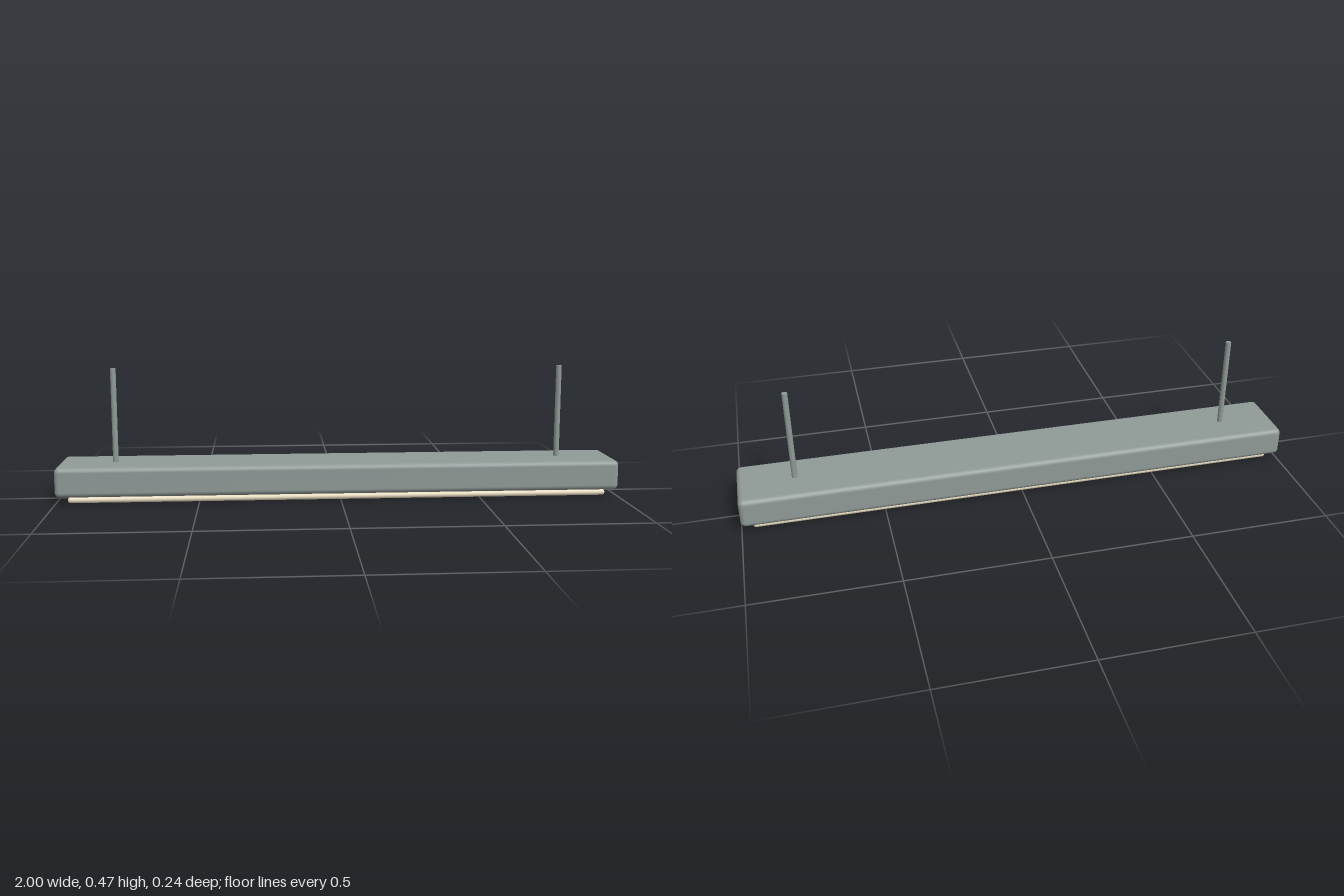
import * as THREE from 'three';
import { RoundedBoxGeometry } from 'three/addons/geometries/RoundedBoxGeometry.js';

export function createModel() {
  const model = new THREE.Group();
  model.name = 'linearPendantLamp';

  const metal = new THREE.MeshStandardMaterial({ color: 0x8f9a97 });
  metal.name = 'greyMetal';
  const cream = new THREE.MeshStandardMaterial({ color: 0xe8dcc0 });
  cream.name = 'creamDiffuser';

  const add = (name, geometry, material, x, y) => {
    const mesh = new THREE.Mesh(geometry, material);
    mesh.name = name;
    mesh.position.set(x, y, 0);
    model.add(mesh);
  };

  // Long housing with softened edges
  add('housing', new RoundedBoxGeometry(2, 0.106, 0.24, 4, 0.018), metal, 0, 0.078);

  // Light panel hanging just below the housing
  add('diffuser', new RoundedBoxGeometry(1.92, 0.021, 0.186, 4, 0.0104), cream, 0, 0.0105);

  // Two suspension rods
  const rod = new THREE.CylinderGeometry(0.01, 0.01, 0.345, 16);
  for (const side of [-1, 1]) {
    add(side > 0 ? 'leftRod' : 'rightRod', rod, metal, side * 0.8, 0.2925);
  }

  return model;
}
